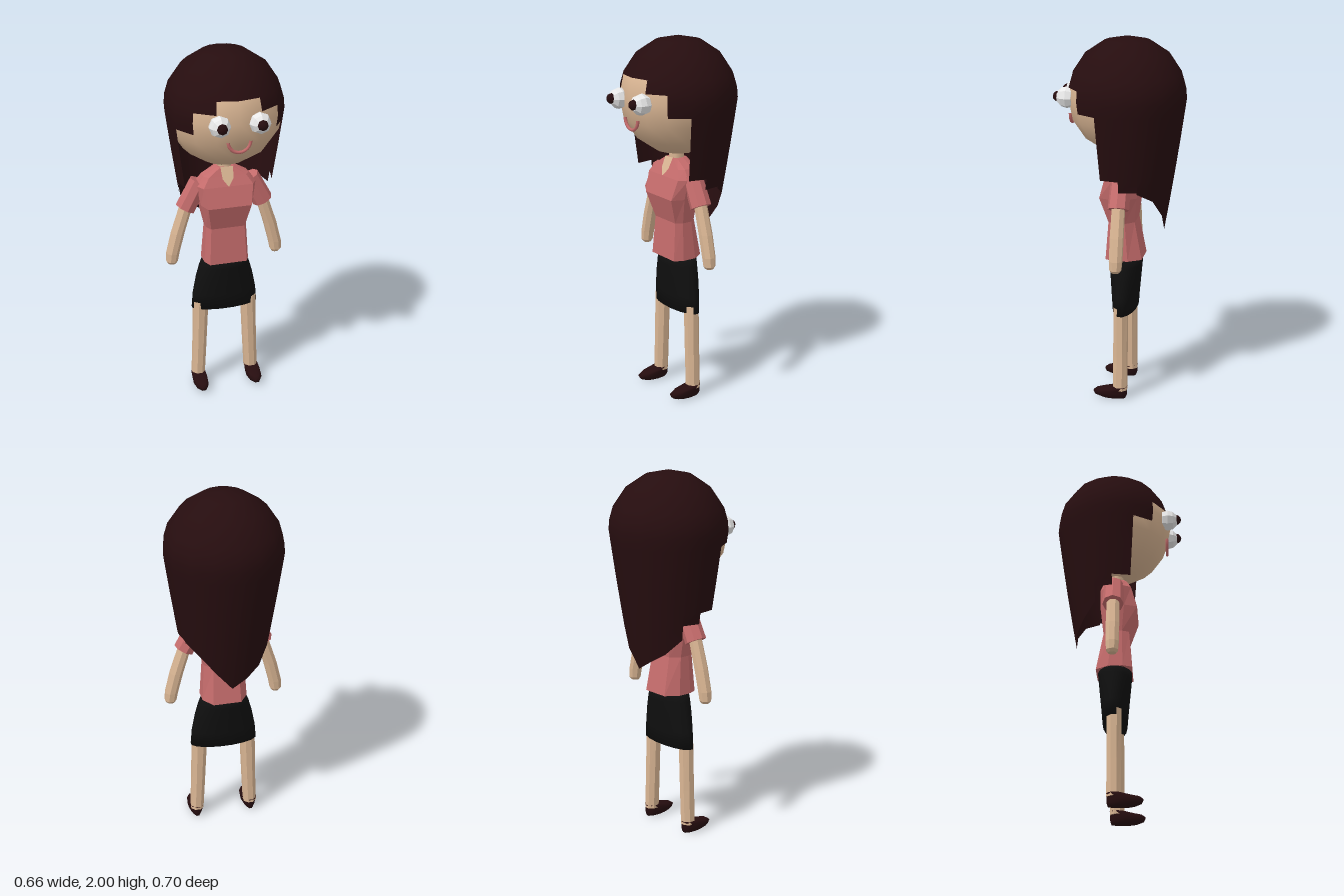
import * as THREE from 'three';
import { mergeVertices } from 'three/addons/utils/BufferGeometryUtils.js';

const mat = (name, color, side = THREE.FrontSide) => {
  const m = new THREE.MeshStandardMaterial({ color, side });
  m.name = name;
  return m;
};

// Geometry from a flat list of triangle corners, faceted or smooth
function fromTriangles(points, smooth) {
  let g = new THREE.BufferGeometry();
  g.setAttribute('position', new THREE.Float32BufferAttribute(points.flat(), 3));
  if (smooth) g = mergeVertices(g, 1e-4);
  g.computeVertexNormals();
  return g;
}

const quad = (out, bl, br, tr, tl) => out.push(bl, br, tr, bl, tr, tl);

// Skin over closed cross-sections listed from bottom to top, capped at both ends
function loft(sections, smooth = false) {
  const out = [], n = sections[0].length;
  const middle = s => [0, 1, 2].map(k => s.reduce((sum, p) => sum + p[k], 0) / n);
  const low = sections[0], high = sections[sections.length - 1];
  for (let i = 0; i < n; i++) {
    const j = (i + 1) % n;
    for (let r = 0; r < sections.length - 1; r++) {
      quad(out, sections[r][i], sections[r][j], sections[r + 1][j], sections[r + 1][i]);
    }
    out.push(low[j], low[i], middle(low), high[i], high[j], middle(high));
  }
  return fromTriangles(out, smooth);
}

// Elliptical cross-section
const ellipse = (sides, cx, y, cz, rx, rz) => Array.from({ length: sides }, (_, i) => {
  const a = (i + 0.5) / sides * Math.PI * 2;
  return [cx + rx * Math.sin(a), y, cz + rz * Math.cos(a)];
});

// Bevelled box cross-section of the torso
function torsoSection([y, w, front, back]) {
  const f = front * 0.3, b = back * 0.45, c = w * 0.83;
  return [[-c, y, front], [c, y, front], [w, y, f], [w, y, b],
    [c * 0.75, y, back], [-c * 0.75, y, back], [-w, y, b], [-w, y, f]];
}

// Sixteen-sided hair: dome plus strands that hang to a different height in each segment
function hairGeometry() {
  const R = 0.32, cy = 1.68, cz = -0.03, out = [];
  const rows = [2, 1.976, 1.906, 1.803, 1.735, 1.68, 1.615, 1.45, 1.27, 1.1, 0.95];
  const front = [[1.803, 1.803], [1.735, 1.735], [1.615, 1.615], [1.27, 1.27], [1.21, 1.21]];
  const left = [...front, [1.2, 1.15], [1.15, 1.05], [1.05, 0.95]];
  const right = [...front, [1.13, 1.05], [1.05, 1.0], [1.0, 0.95]];
  const point = (a, y) => {
    const d = cy - y;
    const r = d < 0 ? Math.sqrt(Math.max(0, R * R - d * d)) : R - 0.135 * d - 0.03 * d * d;
    return [r * Math.sin(a), y, cz + r * Math.cos(a)];
  };
  for (let i = 0; i < 8; i++) {
    const a0 = i * Math.PI / 8, a1 = (i + 1) * Math.PI / 8;
    const strips = [[a0, a1, ...left[i]], [-a1, -a0, right[i][1], right[i][0]]];
    for (const [s, e, sEnd, eEnd] of strips) {
      for (let r = 0; r < rows.length - 1; r++) {
        if (rows[r] <= Math.min(sEnd, eEnd)) break;
        const at = (a, end, k) => point(a, Math.max(rows[k], end));
        quad(out, at(s, sEnd, r + 1), at(e, eEnd, r + 1), at(e, eEnd, r), at(s, sEnd, r));
      }
    }
  }
  return fromTriangles(out, true);
}

export function createModel() {
  const group = new THREE.Group();
  const skin = mat('skin', 0xd9b593, THREE.DoubleSide);
  const brown = mat('dark brown', 0x260d0f, THREE.DoubleSide);
  const pink = mat('dusty pink', 0xc56c6c);
  const black = mat('black', 0x0f0f0f);
  const white = mat('white', 0xe8e8e8);

  const add = (name, geometry, material, x = 0, y = 0, z = 0) => {
    const mesh = new THREE.Mesh(geometry, material);
    mesh.name = name;
    mesh.position.set(x, y, z);
    group.add(mesh);
    return mesh;
  };

  // Head, hair and mouth
  add('head', new THREE.SphereGeometry(0.316, 16, 8), skin, 0, 1.68, -0.028);
  add('hair', hairGeometry(), brown);
  const smile = new THREE.TorusGeometry(0.06, 0.009, 6, 12, Math.PI);
  smile.rotateZ(Math.PI);
  add('mouth', smile, pink, 0, 1.587, 0.268);

  // Neck and open neckline
  add('neck', new THREE.CylinderGeometry(0.04, 0.045, 0.22, 8), skin, 0, 1.31, -0.02);
  const vee = new THREE.Shape();
  vee.moveTo(-0.035, 1.35);
  vee.lineTo(-0.03, 1.29);
  vee.lineTo(0, 1.25);
  vee.lineTo(0.03, 1.29);
  vee.lineTo(0.035, 1.35);
  const neckline = new THREE.ShapeGeometry(vee);
  const p = neckline.attributes.position;
  for (let i = 0; i < p.count; i++) p.setZ(i, 0.074 + (1.25 - p.getY(i)) * 0.45);
  neckline.computeVertexNormals();
  add('neckline', neckline, skin);

  // Shirt: height, half width, front and back
  add('shirt', loft([
    [0.79, 0.125, 0.07, -0.125], [1.0, 0.113, 0.055, -0.085], [1.14, 0.145, 0.1, -0.1],
    [1.25, 0.165, 0.068, -0.1], [1.3, 0.125, 0.045, -0.085], [1.345, 0.045, 0.025, -0.065],
  ].map(torsoSection)), pink);

  // Skirt
  add('skirt', loft([
    [0.49, 0.19, 0.065], [0.58, 0.182, 0.073], [0.68, 0.162, 0.083],
    [0.75, 0.142, 0.09], [0.8, 0.122, 0.094],
  ].map(([y, rx, rz]) => ellipse(16, 0, y, -0.025, rx, rz)), true), black);

  for (const [side, s] of [['left', 1], ['right', -1]]) {
    // Bulging eyes
    const eye = new THREE.SphereGeometry(0.058, 8, 6).rotateX(Math.PI / 2).toNonIndexed();
    eye.computeVertexNormals();
    add(side + 'Eye', eye, white, s * 0.106, 1.68, 0.275);
    const pupil = new THREE.SphereGeometry(0.03, 8, 6).rotateX(Math.PI / 2);
    add(side + 'Pupil', pupil, brown, s * 0.106, 1.683, 0.32);

    // Sleeve
    const sleeve = new THREE.CylinderGeometry(0.055, 0.058, 0.17, 8).toNonIndexed();
    sleeve.computeVertexNormals();
    add(side + 'Sleeve', sleeve, pink, s * 0.179, 1.185, -0.025).rotation.z = s * 0.48;

    // Arm with rounded hand
    add(side + 'Arm', loft([
      [0.297, 0.785, 0.022], [0.298, 0.8, 0.033], [0.292, 0.85, 0.037],
      [0.262, 0.97, 0.038], [0.205, 1.15, 0.036],
    ].map(([x, y, r]) => ellipse(8, s * x, y, -0.025, r, r))), skin);

    // Leg
    add(side + 'Leg', loft([
      [0.157, 0.05, 0.039], [0.148, 0.25, 0.041], [0.138, 0.53, 0.045],
    ].map(([x, y, r]) => ellipse(8, s * x, y, -0.022, r, 0.041))), skin);

    // Shoe: height, centre z, half width, half length
    add(side + 'Shoe', loft([
      [0, 0.015, 0.025, 0.07], [0.015, 0.03, 0.038, 0.092], [0.035, 0.034, 0.042, 0.098],
      [0.05, 0.025, 0.042, 0.086], [0.068, -0.02, 0.04, 0.043],
    ].map(([y, z, rx, rz]) => ellipse(10, s * 0.158, y, z, rx, rz)), true), brown);
  }
  return group;
}
